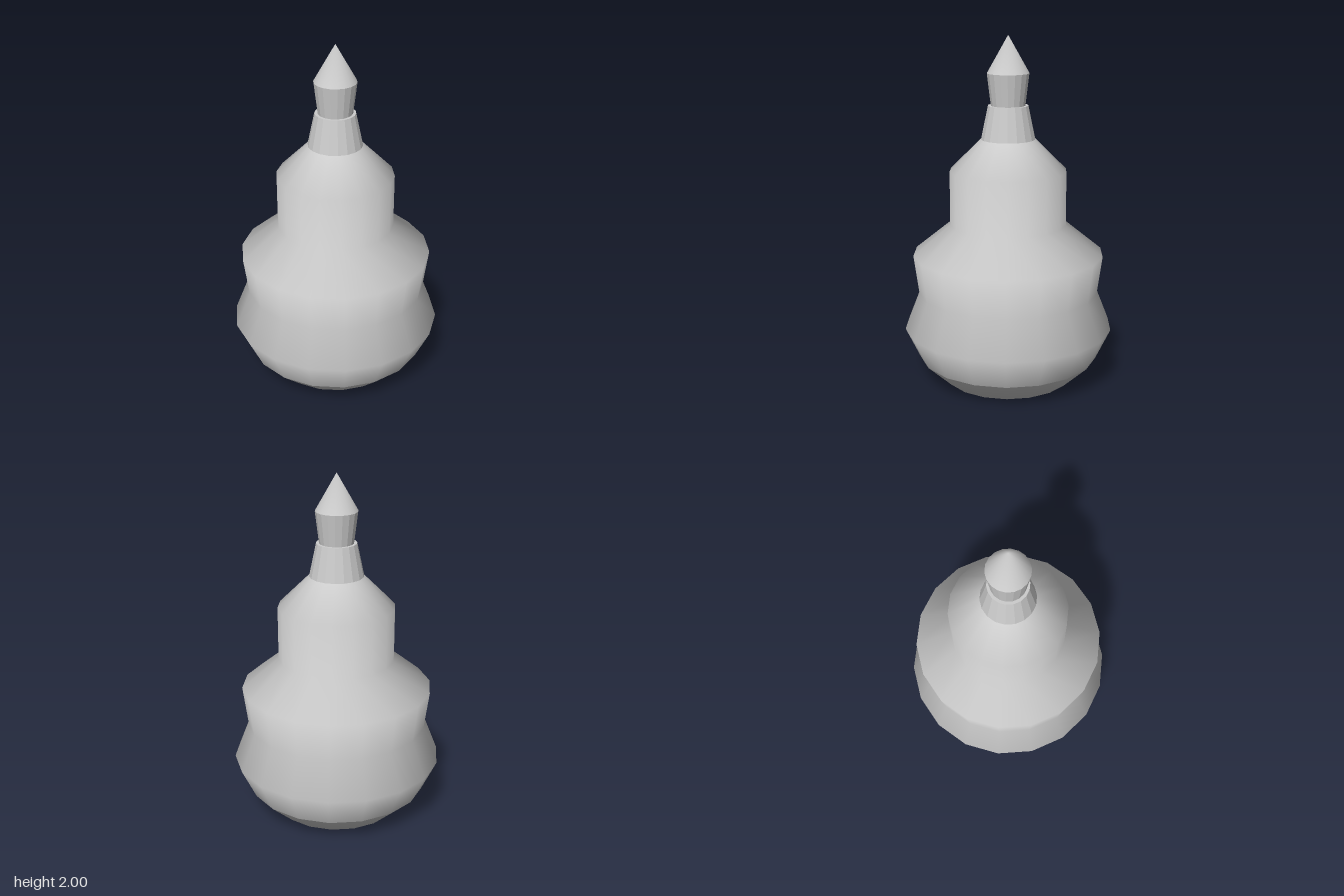
import * as THREE from 'three';
import { mergeVertices } from 'three/addons/utils/BufferGeometryUtils.js';

const SIDES = 18;
const START = Math.PI / 2; // puts a corner on the x axis

export function createModel() {
  const group = new THREE.Group();
  const smooth = new THREE.MeshStandardMaterial({ color: 0xcccccc });
  const faceted = new THREE.MeshStandardMaterial({ color: 0xcccccc, flatShading: true });

  const add = (name, geometry, material, y = 0) => {
    const mesh = new THREE.Mesh(geometry, material);
    mesh.name = name;
    mesh.position.y = y;
    group.add(mesh);
  };
  const lathe = (profile) => new THREE.LatheGeometry(
    profile.map(([r, y]) => new THREE.Vector2(r, y)), SIDES, START);
  const ring = (bottom, top, y0, y1, name) => add(name,
    new THREE.CylinderGeometry(top, bottom, y1 - y0, SIDES, 1, false, START),
    faceted, (y0 + y1) / 2);

  // Closed base, with a crease where it meets the body
  add('base', lathe([[0, 0], [0.375, 0], [0.52, 0.135]]), smooth);

  // Stepped, softly shaded body
  add('body', lathe([
    [0.52, 0.135], [0.605, 0.315], [0.52, 0.53], [0.55, 0.755],
    [0.335, 0.93], [0.335, 1.24], [0.155, 1.42],
  ]), smooth);

  // Faceted neck and flared collar
  ring(0.155, 0.115, 1.42, 1.61, 'neck');
  ring(0.098, 0.12, 1.61, 1.79, 'collar');

  // Pointed tip, with normals blended at its apex
  let tip = lathe([[0.12, 1.79], [0, 2]]);
  tip.deleteAttribute('normal');
  tip.deleteAttribute('uv');
  tip = mergeVertices(tip);
  tip.computeVertexNormals();
  add('tip', tip, smooth);

  return group;
}
